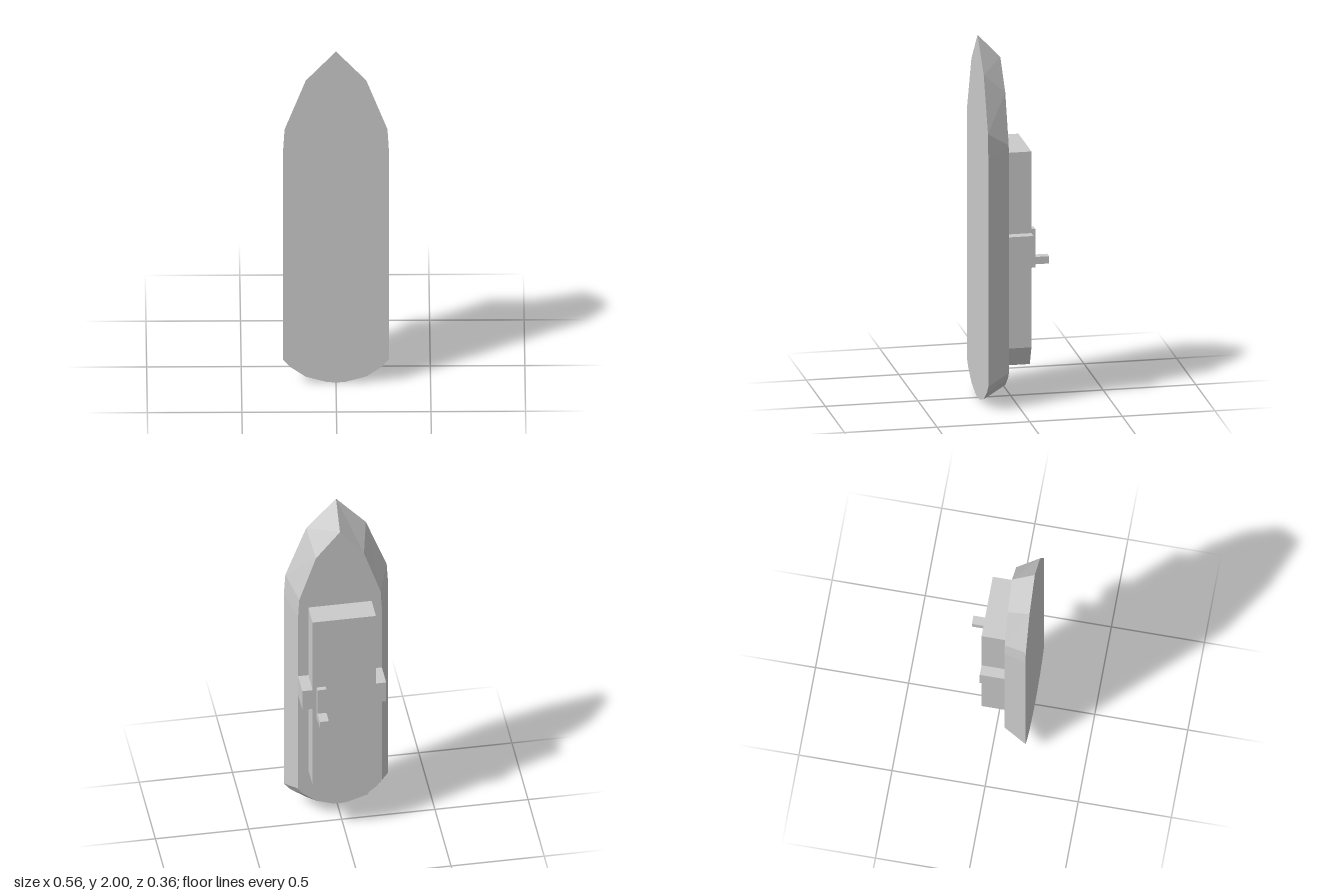
import * as THREE from 'three';

const material = new THREE.MeshStandardMaterial({ color: 0xcccccc, flatShading: true });

// Closed shape from its +x half, listed from top centre to bottom centre
function mirroredShape(half) {
  const other = half.filter(([x]) => x > 0).reverse().map(([x, y]) => [-x, y]);
  return new THREE.Shape([...half, ...other].map(([x, y]) => new THREE.Vector2(x, y)));
}

// Straight extrusion of a shape between two depths
function slab(shape, z0, z1) {
  const geometry = new THREE.ExtrudeGeometry(shape, { depth: z1 - z0, bevelEnabled: false });
  return geometry.translate(0, 0, z0);
}

// Box given by its lower and upper limits
function block(x0, x1, y0, y1, z0, z1) {
  return new THREE.BoxGeometry(x1 - x0, y1 - y0, z1 - z0)
    .translate((x0 + x1) / 2, (y0 + y1) / 2, (z0 + z1) / 2);
}

export function createModel() {
  const model = new THREE.Group();
  model.name = 'pointedPanel';
  const add = (name, geometry) => {
    const mesh = new THREE.Mesh(geometry, material);
    mesh.name = name;
    model.add(mesh);
  };

  const front = 0.178, hullBack = 0.055, bodyBack = -0.078;

  // Pointed plate, its outline shrinking toward the back
  const plate = slab(mirroredShape([
    [0, 2], [0.16, 1.825], [0.272, 1.53], [0.28, 1.4], [0.28, 0.14],
    [0.245, 0.097], [0.16, 0.036], [0.05, 0.004], [0, 0],
  ]), hullBack, front);
  const p = plate.attributes.position;
  for (let i = 0; i < p.count; i++) {
    if (p.getZ(i) < (hullBack + front) / 2) {
      p.setX(i, p.getX(i) * 0.804);
      p.setY(i, 0.67 + (p.getY(i) - 0.67) * 0.902);
    }
  }
  plate.computeVertexNormals();
  add('plate', plate);

  // Rear housing with a chamfered lower end
  add('housing', slab(mirroredShape([
    [0.17, 1.39], [0.17, 0.31], [0.125, 0.205], [0, 0.19],
  ]), bodyBack, hullBack));

  // Lugs on both sides of the housing
  add('leftLug', block(0.17, 0.225, 0.815, 0.94, bodyBack, hullBack));
  add('rightLug', block(-0.225, -0.17, 0.815, 0.94, bodyBack, hullBack));

  // Latch: backing strip with a projecting lever
  add('latchStrip', block(0.1, 0.148, 0.742, 0.955, -0.104, bodyBack));
  add('latchLever', block(0.1, 0.148, 0.76, 0.8, -0.178, -0.104));

  return model;
}
